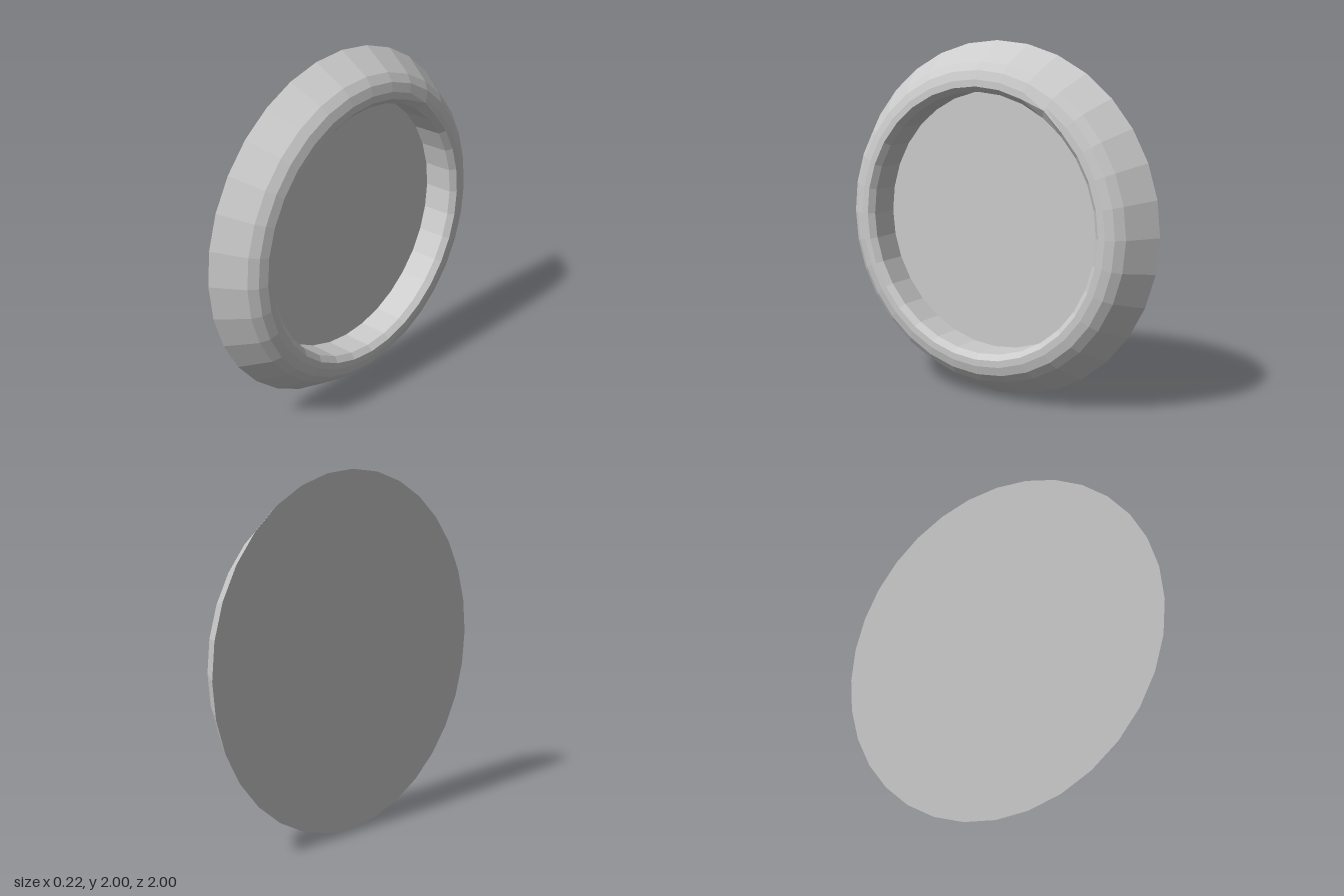
import * as THREE from 'three';

const SIDES = 32;
const BACK_X = -0.113, FLOOR_X = -0.095;

export function createModel() {
  const group = new THREE.Group();
  group.name = 'roundDish';
  const material = new THREE.MeshStandardMaterial({ color: 0xcccccc, flatShading: true });

  const add = (name, geometry) => {
    const mesh = new THREE.Mesh(geometry, material);
    mesh.name = name;
    mesh.position.y = 1;
    group.add(mesh);
  };

  // Bevelled ring: [radius, x] from the back edge, over the rim, down to the recessed floor
  const profile = [
    [1, BACK_X], [0.89, 0.054], [0.845, 0.09], [0.795, 0.105],
    [0.757, 0.106], [0.727, 0.075], [0.727, FLOOR_X],
  ].map(([r, x]) => new THREE.Vector2(r, x));
  const ring = new THREE.LatheGeometry(profile, SIDES);
  ring.rotateZ(-Math.PI / 2);

  // One slightly dented corner on the inner lip
  const angle = 3 * 2 * Math.PI / SIDES;
  const corner = new THREE.Vector3(0.106, 0.757 * Math.cos(angle), -0.757 * Math.sin(angle));
  const pos = ring.attributes.position;
  const v = new THREE.Vector3();
  for (let i = 0; i < pos.count; i++) {
    if (v.fromBufferAttribute(pos, i).distanceTo(corner) < 0.005) {
      pos.setXYZ(i, 0.111, 0.775 * Math.cos(angle), -0.775 * Math.sin(angle));
    }
  }
  add('bevelledRing', ring);

  // Flat recessed floor facing +x and flat back facing -x
  add('recessedFloor', new THREE.CircleGeometry(0.727, SIDES).rotateY(Math.PI / 2).translate(FLOOR_X, 0, 0));
  add('backDisc', new THREE.CircleGeometry(1, SIDES).rotateY(-Math.PI / 2).translate(BACK_X, 0, 0));

  return group;
}
